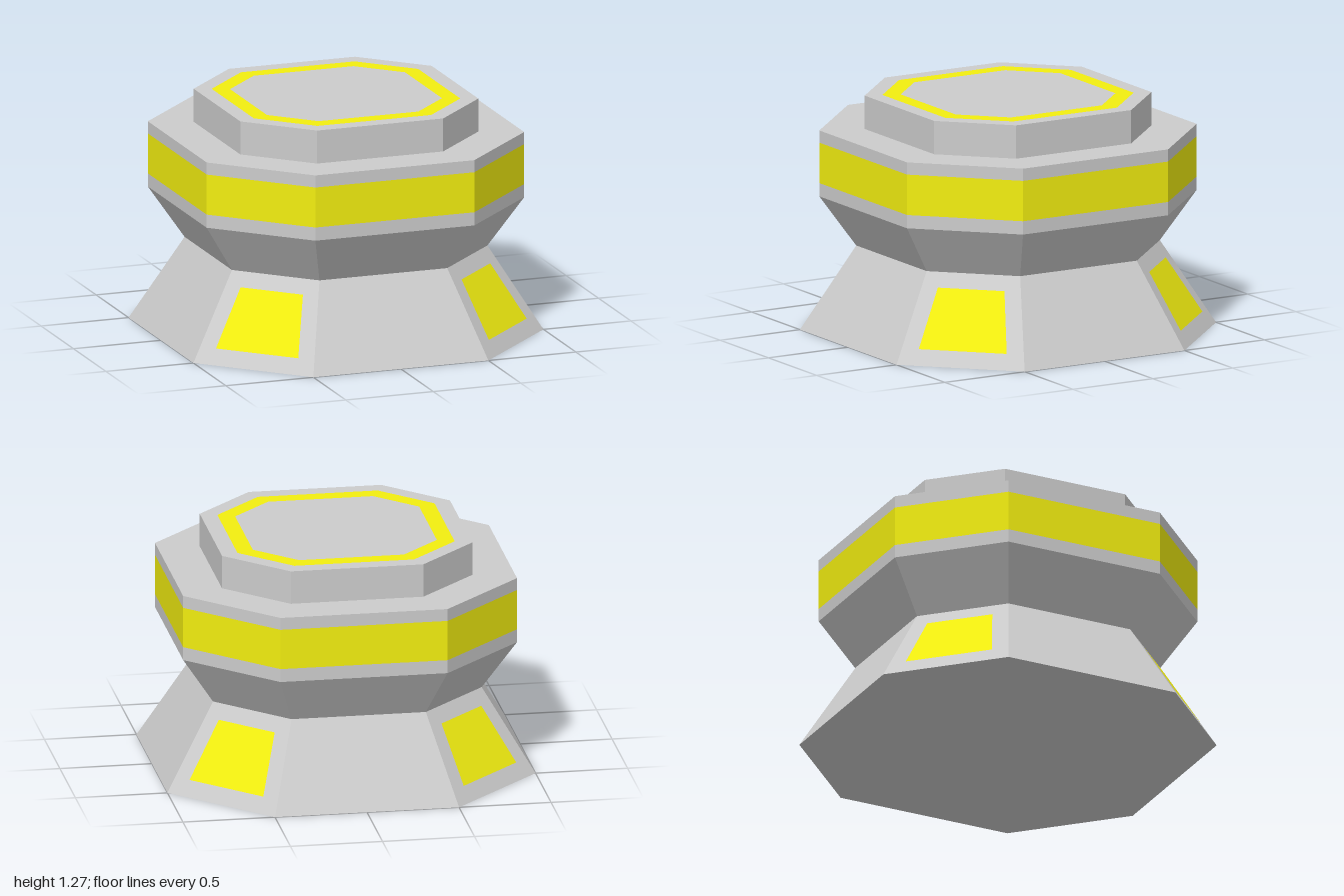
import * as THREE from 'three';

const grey = new THREE.MeshStandardMaterial({ color: 0xcccccc, flatShading: true });
const yellow = new THREE.MeshStandardMaterial({ color: 0xf2ee10, flatShading: true });

// Eight corners of a chamfered square: a = half width, b = half length of a straight side
function ring([a, b, y]) {
  return [[-b, a], [b, a], [a, b], [a, -b], [b, -a], [-b, -a], [-a, -b], [-a, b]]
    .map(([x, z]) => new THREE.Vector3(x, y, z));
}

function meshFromPoints(name, points, material) {
  const geometry = new THREE.BufferGeometry().setFromPoints(points);
  geometry.computeVertexNormals();
  const mesh = new THREE.Mesh(geometry, material);
  mesh.name = name;
  return mesh;
}

// Octagonal shell through a list of [a, b, y] sections
function loft(name, sections, material) {
  const points = [];
  for (let s = 0; s < sections.length - 1; s++) {
    const low = ring(sections[s]), high = ring(sections[s + 1]);
    for (let i = 0; i < 8; i++) {
      const j = (i + 1) % 8;
      if (sections[s][0] > 0) points.push(low[i], low[j], high[j]);
      if (sections[s + 1][0] > 0) points.push(low[i], high[j], high[i]);
    }
  }
  return meshFromPoints(name, points, material);
}

export function createModel() {
  const group = new THREE.Group();
  const foot = [1, 0.5, 0], waist = [0.73, 0.365, 0.457];

  // Flared base, narrow waist and the stacked top
  group.add(
    loft('base', [[0, 0, 0], foot, waist], grey),
    loft('flare', [waist, [0.907, 0.454, 0.73]], grey),
    loft('lowerRim', [[0.907, 0.454, 0.73], [0.907, 0.454, 0.803]], grey),
    loft('sideBand', [[0.907, 0.454, 0.803], [0.907, 0.454, 1.025]], yellow),
    loft('upperRim', [[0.907, 0.454, 1.025], [0.907, 0.454, 1.092], [0.68, 0.36, 1.092]], grey),
    loft('cap', [[0.68, 0.36, 1.092], [0.68, 0.36, 1.275], [0.59, 0.325, 1.275]], grey),
    loft('topBand', [[0.59, 0.325, 1.275], [0.5, 0.285, 1.275]], yellow),
    loft('topPlate', [[0.5, 0.285, 1.275], [0, 0, 1.275]], grey),
  );

  // Coloured panels on the four diagonal faces of the base
  const panelEdge = (y, margin) => {
    const t = y / waist[2];
    const corners = ring([0, 1, 2].map((k) => THREE.MathUtils.lerp(foot[k], waist[k], t)));
    const lift = new THREE.Vector3(0.0015, 0.0015, 0.0015);
    return [margin, 1 - margin].map((f) => corners[1].clone().lerp(corners[2], f).add(lift));
  };
  const [p, q] = panelEdge(0.08, 0.14);
  const [r, s] = panelEdge(0.38, 0.165);
  for (let i = 0; i < 4; i++) {
    const panel = meshFromPoints('basePanel' + (i + 1), [p, q, s, p, s, r], yellow);
    panel.rotation.y = i * Math.PI / 2;
    group.add(panel);
  }
  return group;
}
